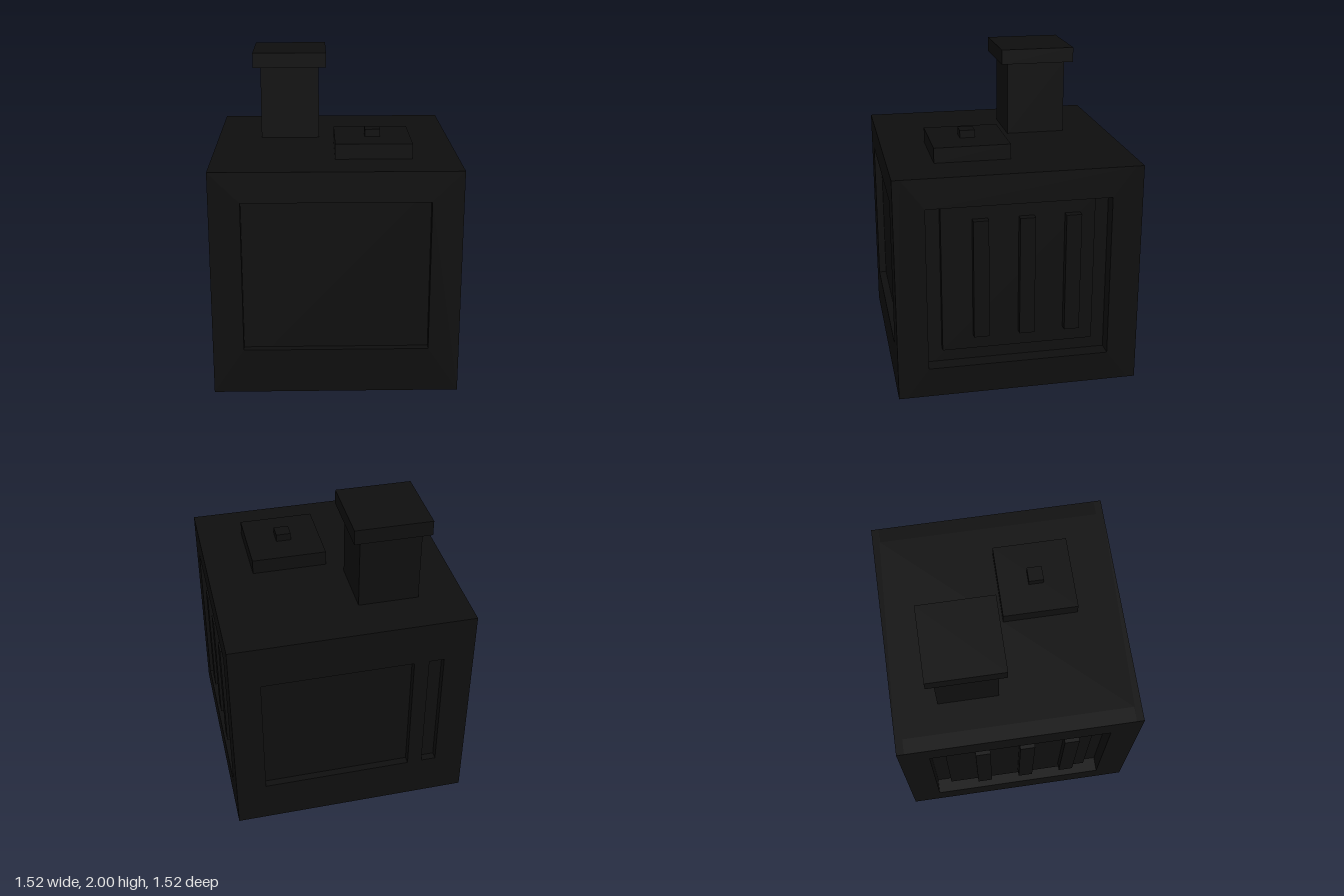
import * as THREE from 'three';

// Everything is laid out in whole grid units, 42 of them making the full height.
const UNIT = 2 / 42;

export function createModel() {
  const model = new THREE.Group();
  model.name = 'stoveBlock';
  const black = new THREE.MeshStandardMaterial({ color: 0x0e0e0e });
  black.name = 'soot black';

  function add(parent, name, geometry) {
    const mesh = new THREE.Mesh(geometry, black);
    mesh.name = name;
    parent.add(mesh);
  }

  // Box given by its lower and upper corners
  function box(parent, name, [x0, y0, z0], [x1, y1, z1]) {
    const g = new THREE.BoxGeometry(x1 - x0, y1 - y0, z1 - z0);
    g.translate((x0 + x1) / 2, (y0 + y1) / 2, (z0 + z1) / 2);
    add(parent, name, g);
  }

  function trace(path, x0, y0, x1, y1) {
    path.moveTo(x0, y0).lineTo(x1, y0).lineTo(x1, y1).lineTo(x0, y1).closePath();
    return path;
  }

  // Wall slab with rectangular openings, its outer face at z = 16
  function frame(parent, name, halfWidth, depth, openings) {
    const shape = trace(new THREE.Shape(), -halfWidth, 0, halfWidth, 30);
    for (const o of openings) shape.holes.push(trace(new THREE.Path(), ...o));
    const g = new THREE.ExtrudeGeometry(shape, { depth, bevelEnabled: false });
    g.translate(0, 0, 16 - depth);
    add(parent, name, g);
  }

  function wall(name, angle) {
    const g = new THREE.Group();
    g.name = name;
    g.rotation.y = angle;
    model.add(g);
    return g;
  }

  // Solid core behind the walls
  box(model, 'core', [-14, 0, -15], [14, 30, 15]);

  // Front wall with one sunken panel
  frame(wall('frontWall', 0), 'frontFrame', 16, 1, [[-12, 6, 12, 26]]);

  // Back wall with a sunken panel and a narrow slot beside it
  frame(wall('backWall', Math.PI), 'backFrame', 16, 1, [[-12, 6, 8, 24], [10, 6, 12, 24]]);

  // Side walls: deep recess, inset plate and three upright bars
  for (const [name, angle] of [['leftWall', Math.PI / 2], ['rightWall', -Math.PI / 2]]) {
    const side = wall(name, angle);
    frame(side, 'sideFrame', 15, 2, [[-12, 4, 12, 26]]);
    box(side, 'insetPlate', [-10, 6, 14], [10, 26, 15]);
    for (const x of [-6, 0, 6]) box(side, 'grilleBar', [x, 8, 15], [x + 2, 24, 16]);
  }

  // Chimney with overhanging cap
  box(model, 'chimney', [-10, 30, -10], [-2, 40, -2]);
  box(model, 'chimneyCap', [-11, 40, -11], [-1, 42, -1]);

  // Hatch on the roof with its knob
  box(model, 'hatch', [0, 30, 0], [10, 32, 10]);
  box(model, 'hatchKnob', [4, 32, 4], [6, 33, 6]);

  model.scale.setScalar(UNIT);
  return model;
}
